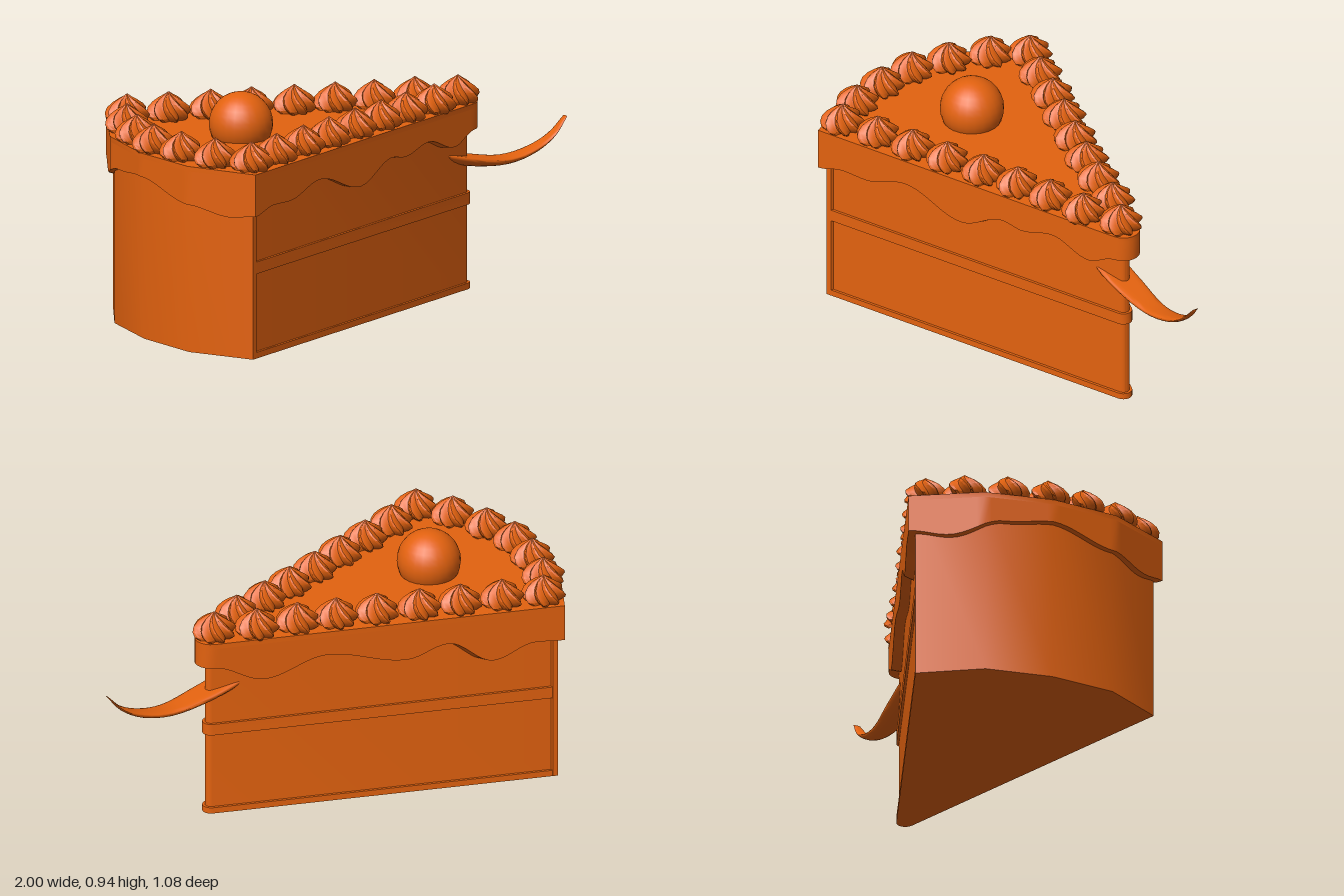
import * as THREE from 'three';
import { toCreasedNormals } from 'three/addons/utils/BufferGeometryUtils.js';

const TOP = 0.755;

// Wedge outline [x, z]: rounded tip, then five points around the curved back
function footprint(tipX, r, back) {
  const pts = [];
  for (let i = 0; i <= 8; i++) {
    const a = (-70 + i * 17.5) * Math.PI / 180;
    pts.push([tipX + r * Math.cos(a), r * Math.sin(a)]);
  }
  return pts.concat(back, back.slice(0, -1).reverse().map(([x, z]) => [x, -z]));
}

// Upright prism over an outline that is symmetric in z
function prism(pts, y0, y1) {
  const shape = new THREE.Shape(pts.map(([x, z]) => new THREE.Vector2(x, -z)));
  const geo = new THREE.ExtrudeGeometry(shape, { depth: y1 - y0, bevelEnabled: false });
  geo.rotateX(-Math.PI / 2).translate(0, y0, 0);
  return toCreasedNormals(geo, 0.6);
}

// Surface through rows of points, each row closed on itself
function loft(rows, crease) {
  const pos = [];
  for (let j = 0; j < rows.length - 1; j++) {
    const n = rows[j].length;
    for (let i = 0; i < n; i++) {
      const k = (i + 1) % n;
      const a = rows[j][i], b = rows[j + 1][i], c = rows[j + 1][k], d = rows[j][k];
      pos.push(...a, ...c, ...b, ...a, ...d, ...c);
    }
  }
  const geo = new THREE.BufferGeometry();
  geo.setAttribute('position', new THREE.Float32BufferAttribute(pos, 3));
  geo.computeVertexNormals();
  return toCreasedNormals(geo, crease);
}

// Smoothly eased lookup in an ascending table of [key, value]
function ease(table, t) {
  if (t <= table[0][0]) return table[0][1];
  for (let i = 1; i < table.length; i++) {
    const [t0, v0] = table[i - 1], [t1, v1] = table[i];
    if (t <= t1) return v0 + (v1 - v0) * (0.5 - 0.5 * Math.cos(Math.PI * (t - t0) / (t1 - t0)));
  }
  return table[table.length - 1][1];
}

// Lower edge of the icing on each side of the slice
const FRONT_WAVE = [[-0.79, 0.585], [-0.68, 0.61], [-0.58, 0.605], [-0.4, 0.652], [-0.15, 0.57], [0.04, 0.645],
  [0.12, 0.63], [0.26, 0.66], [0.42, 0.605], [0.54, 0.65]];
const REAR_WAVE = [[-0.79, 0.605], [-0.68, 0.61], [-0.52, 0.55], [-0.35, 0.645], [-0.19, 0.595],
  [0.11, 0.655], [0.35, 0.58], [0.54, 0.65]];
const BACK_WAVE = [[-0.54, 0.605], [-0.4, 0.58], [-0.2, 0.64], [0, 0.66], [0.28, 0.6], [0.44, 0.57], [0.54, 0.585]];
function edgeHeight(x, z) {
  if (x < -0.79) return ease(BACK_WAVE, z);
  return ease(z > 0 ? FRONT_WAVE : REAR_WAVE, x);
}

// Subdivide an outline evenly along each straight run
function subdivide(pts, counts) {
  const out = [];
  pts.forEach(([x, z], i) => {
    const [nx, nz] = pts[(i + 1) % pts.length];
    for (let k = 0; k < counts[i]; k++) {
      const t = k / counts[i];
      out.push([x + (nx - x) * t, z + (nz - z) * t]);
    }
  });
  return out;
}

// Piped dollop: a lathe with eight twisted ribs
function dollopGeometry() {
  const profile = [[0.06, 0], [0.076, 0.015], [0.08, 0.032], [0.074, 0.05], [0.058, 0.069],
    [0.036, 0.087], [0.016, 0.1], [0.001, 0.112]].map(([r, y]) => new THREE.Vector2(r, y));
  const geo = new THREE.LatheGeometry(profile, 48);
  const p = geo.attributes.position;
  for (let i = 0; i < p.count; i++) {
    const x = p.getX(i), y = p.getY(i), z = p.getZ(i);
    const a = Math.atan2(z, x);
    const r = Math.hypot(x, z) * (0.94 + 0.17 * Math.cos(8 * a));
    const twisted = a + y * 9;
    p.setXYZ(i, r * Math.cos(twisted), y, r * Math.sin(twisted));
  }
  return toCreasedNormals(geo, 0.7);
}

export function createModel() {
  const group = new THREE.Group();
  const orange = new THREE.MeshStandardMaterial({ color: 0xe3620f });
  orange.name = 'orange';
  const add = (name, geo, parent = group) => {
    const mesh = new THREE.Mesh(geo, orange);
    mesh.name = name;
    parent.add(mesh);
    return mesh;
  };

  // Sponge, slightly recessed behind the crust and cream
  const core = footprint(0.515, 0.024, [[-0.77, 0.492]]);
  core.push([-0.77, -0.492]);
  add('sponge', prism(core, 0.004, 0.74));

  // Crust around the curved back
  const arc = [[-0.78, 0.507], [-0.925, 0.27], [-0.96, 0]];
  const mirroredArc = arc.slice(0, -1).reverse().map(([x, z]) => [x, -z]);
  add('backCrust', prism([[-0.76, 0.5], ...arc, ...mirroredArc, [-0.76, -0.5]], 0, 0.74));

  // Base and cream filling standing proud of the sponge
  const strip = footprint(0.515, 0.035, [[-0.775, 0.505]]);
  strip.push([-0.775, -0.505]);
  add('baseLayer', prism(strip, 0, 0.025));
  add('creamFilling', prism(strip, 0.342, 0.39));

  // Icing lid and wavy skirt
  const icing = footprint(0.515, 0.065, [[-0.79, 0.54], [-0.94, 0.28], [-0.98, 0]]);
  const inside = footprint(0.51, 0.02, [[-0.77, 0.49], [-0.91, 0.26], [-0.95, 0]]);
  add('icingTop', prism(icing, 0.735, TOP));
  const counts = icing.map((p, i) => (i < 8 ? 1 : i === 8 || i === 13 ? 60 : 10));
  const outer = subdivide(icing, counts), inner = subdivide(inside, counts);
  const heights = outer.map(([x, z]) => edgeHeight(x, z));
  add('icingSkirt', loft([
    outer.map(([x, z]) => [x, 0.735, z]),
    outer.map(([x, z], i) => [x, heights[i], z]),
    inner.map(([x, z], i) => [x, heights[i] - 0.008, z]),
  ], 0.6));

  // Ring of piped dollops
  const dollops = new THREE.Group();
  dollops.name = 'dollops';
  group.add(dollops);
  const dollop = dollopGeometry();
  const half = [[0.5, 0], [0.345, 0.07], [0.185, 0.115], [0.035, 0.165], [-0.12, 0.22], [-0.28, 0.28],
    [-0.435, 0.335], [-0.595, 0.39], [-0.75, 0.45], [-0.835, 0.32], [-0.89, 0.16], [-0.915, 0]];
  half.forEach(([x, z], i) => {
    for (const side of z ? [1, -1] : [1]) {
      const mesh = add('dollop', dollop, dollops);
      mesh.position.set(x, TOP - 0.002, z * side);
      mesh.rotation.y = i * 0.35 * side;
    }
  });

  // Cherry
  add('cherry', new THREE.SphereGeometry(0.126, 24, 16)).position.set(-0.51, 0.809, 0);

  // Curved tongue at the tip: [x, y, half width, half thickness]
  const stations = [[0.36, 0.56, 0.05, 0.014], [0.45, 0.532, 0.063, 0.021], [0.56, 0.508, 0.06, 0.021],
    [0.72, 0.489, 0.046, 0.016], [0.85, 0.515, 0.035, 0.014], [0.94, 0.563, 0.026, 0.009], [1, 0.628, 0.014, 0.002]];
  const path = new THREE.CatmullRomCurve3(stations.map(([x, y]) => new THREE.Vector3(x, y, 0)));
  const size = new THREE.CatmullRomCurve3(stations.map(([, , w, h]) => new THREE.Vector3(w, h, 0)));
  const rows = [];
  for (let j = 0; j <= 24; j++) {
    const c = path.getPoint(j / 24), s = size.getPoint(j / 24), row = [];
    for (let i = 0; i < 20; i++) {
      const a = -i * Math.PI / 10;
      const bend = s.x * 0.3 * Math.cos(a) ** 2 * (1 - j / 24);
      row.push([c.x, c.y + s.y * Math.sin(a) + bend, s.x * Math.cos(a)]);
    }
    rows.push(row);
  }
  rows.push(rows[24].map(() => [1, 0.63, 0]));
  add('tongue', loft(rows, 1));

  return group;
}
